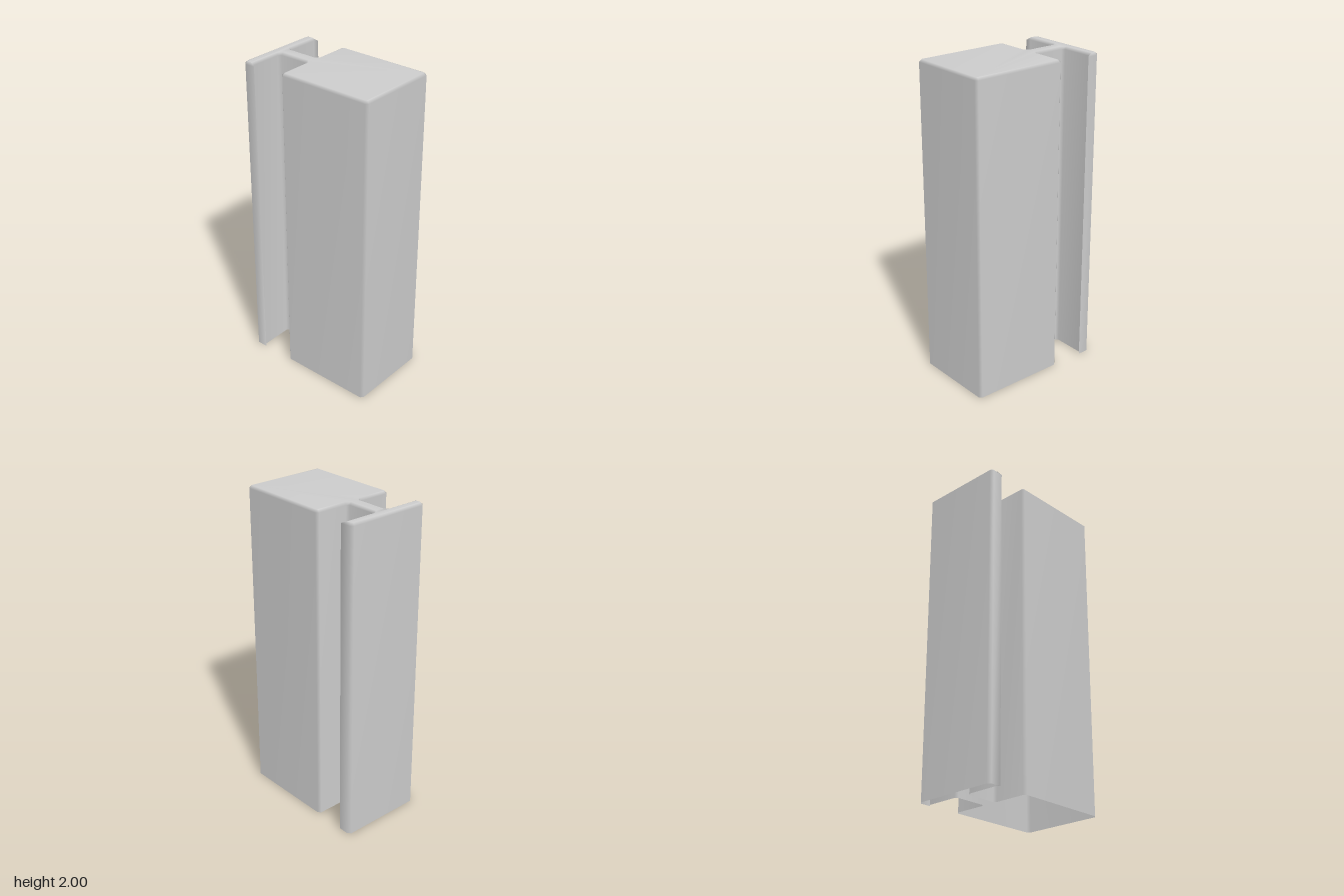
import * as THREE from 'three';

const HEIGHT = 2;
const BEVEL = 0.015;

// Right half of the plan outline as [x, z], from the front to the back.
const HALF = [
  [0.254, 0.452], [0.27, 0.436], [0.27, -0.152], [0.254, -0.168], // block
  [0.058, -0.168], [0.042, -0.184], [0.042, -0.369], [0.058, -0.385], // web and fillets
  [0.257, -0.385], [0.275, -0.367], [0.275, -0.435], [0.257, -0.453], // flange
];

// Moves every edge of a closed outline inwards by d, with mitred corners.
function inset(points, d) {
  const n = points.length;
  const normal = (a, b) => new THREE.Vector2(b.y - a.y, a.x - b.x).normalize();
  return points.map((p, i) => {
    const n1 = normal(points[(i + n - 1) % n], p);
    const n2 = normal(p, points[(i + 1) % n]);
    return n1.clone().add(n2).multiplyScalar(d / (1 + n1.dot(n2))).add(p);
  });
}

// Hollow shell: straight walls, a bevelled rim, a closed top and an open bottom.
function profileShell(outline) {
  const n = outline.length;
  const top = inset(outline, BEVEL);
  const rings = [[outline, 0], [outline, HEIGHT - BEVEL], [top, HEIGHT]];
  const positions = [];
  const indices = [];
  for (const [ring, y] of rings) {
    for (const p of ring) positions.push(p.x, y, p.y);
  }
  for (let r = 0; r < rings.length - 1; r++) {
    for (let i = 0; i < n; i++) {
      const a = r * n + i;
      const b = r * n + (i + 1) % n;
      indices.push(a, b, b + n, a, b + n, a + n);
    }
  }
  // Top cap, sharing the rim vertices so the bevel shades softly
  const flat = top.map((p) => new THREE.Vector2(p.x, -p.y));
  for (const face of THREE.ShapeUtils.triangulateShape(flat, [])) {
    indices.push(...face.map((i) => i + 2 * n));
  }
  const geometry = new THREE.BufferGeometry();
  geometry.setAttribute('position', new THREE.Float32BufferAttribute(positions, 3));
  geometry.setIndex(indices);
  geometry.computeVertexNormals();
  return geometry;
}

export function createModel() {
  const group = new THREE.Group();
  group.name = 'railPost';

  const right = HALF.map(([x, z]) => new THREE.Vector2(x, z));
  const left = HALF.map(([x, z]) => new THREE.Vector2(-x, z)).reverse();

  const material = new THREE.MeshStandardMaterial({ color: 0xcccccc, side: THREE.DoubleSide });
  const shell = new THREE.Mesh(profileShell([...right, ...left]), material);
  shell.name = 'postShell';
  group.add(shell);
  return group;
}
